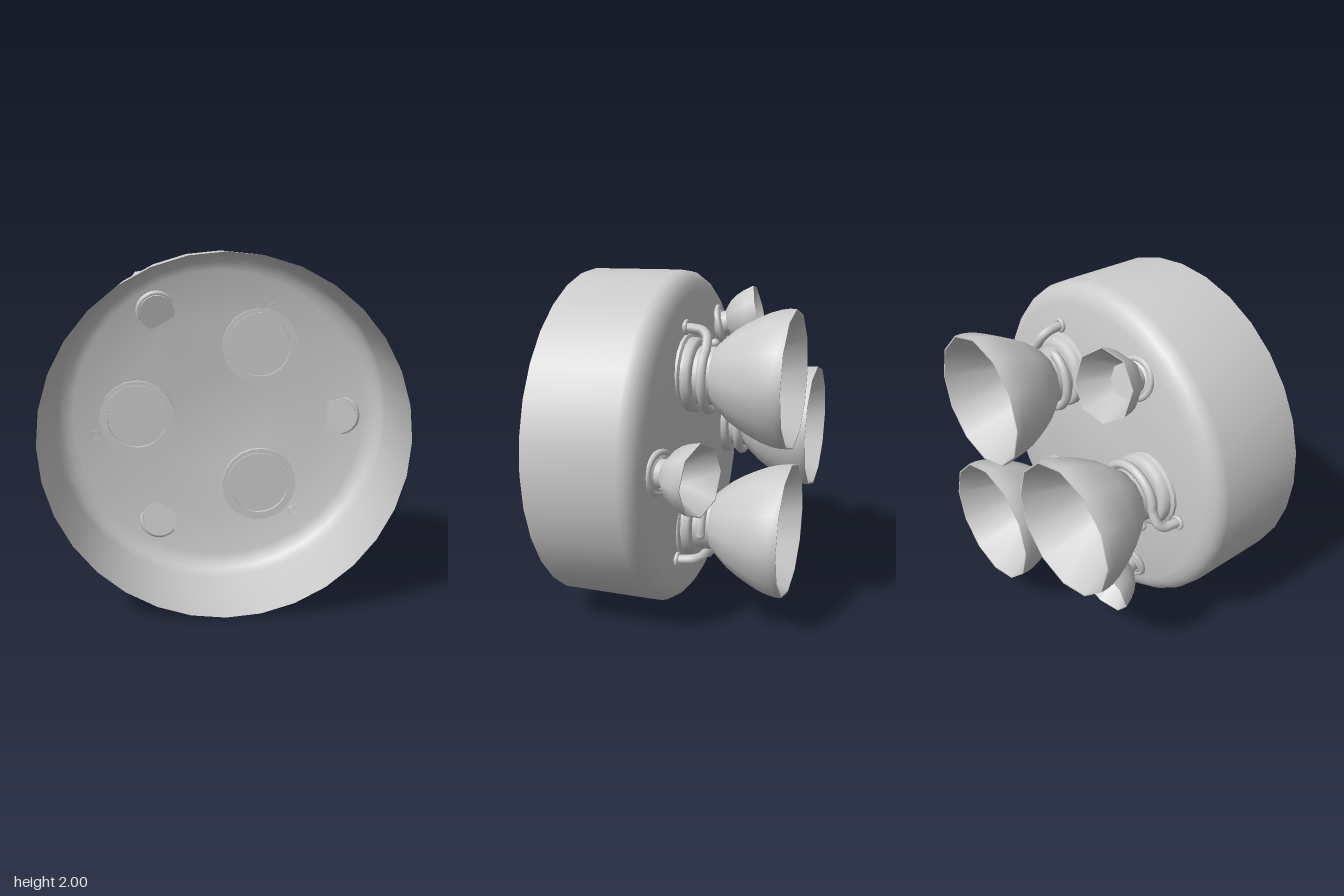
import * as THREE from 'three';
import { toCreasedNormals } from 'three/addons/utils/BufferGeometryUtils.js';

const material = new THREE.MeshStandardMaterial({ color: 0xcccccc, side: THREE.DoubleSide });
const RING_DEPTH = 0.165;

function mesh(name, geometry) {
  const m = new THREE.Mesh(geometry, material);
  m.name = name;
  return m;
}

// Turned part: profile of [radius, distance towards the back], axis along -z
function turned(name, profile, sides) {
  const points = profile.map(([r, d]) => new THREE.Vector2(r, d));
  const geometry = new THREE.LatheGeometry(points, sides).rotateX(-Math.PI / 2);
  return mesh(name, toCreasedNormals(geometry, 0.9));
}

function torus(name, radius, tube, depth) {
  const m = mesh(name, new THREE.TorusGeometry(radius, tube, 8, 24));
  m.position.z = -depth;
  return m;
}

// Feed pipe: rises from the plate, then wraps clockwise around the neck
function feedPipe() {
  const start = THREE.MathUtils.degToRad(21);
  const at = (r, a, d) => new THREE.Vector3(r * Math.cos(a), r * Math.sin(a), -d);
  const points = [
    at(0.275, start, 0.01), at(0.27, start, 0.07), at(0.26, start, 0.125),
    at(0.235, start - 0.08, 0.157),
  ];
  for (let i = 0; i <= 20; i++) points.push(at(0.19, start - 0.4 - i * 0.265, RING_DEPTH));
  const group = new THREE.Group();
  group.name = 'feedPipe';
  group.add(mesh('pipe', new THREE.TubeGeometry(new THREE.CatmullRomCurve3(points), 90, 0.027, 8)));
  // Rounded end of the pipe
  const cap = mesh('pipeEnd', new THREE.SphereGeometry(0.027, 8, 6));
  cap.position.copy(points[points.length - 1]);
  // Collar where the pipe meets the plate
  const collar = torus('pipeCollar', 0.032, 0.012, 0.035);
  collar.position.x = 0.275 * Math.cos(start);
  collar.position.y = 0.275 * Math.sin(start);
  group.add(cap, collar);
  return group;
}

function mainEngine() {
  const group = new THREE.Group();
  group.name = 'mainEngine';
  group.add(
    // Flange passing through the plate, recessed on the inner side
    turned('engineFlange', [
      [0, 0.02], [0.18, 0.02], [0.18, 0], [0.205, 0], [0.205, 0.012], [0.23, 0.012],
      [0.23, 0.04], [0.212, 0.05], [0.21, 0.09], [0.195, 0.105], [0.165, 0.105],
    ], 20),
    turned('engineNeck', [[0.165, 0.1], [0.165, 0.2]], 16),
    // Bell: outer curve, rim, inner cone and chamber floor
    turned('engineBell', [
      [0.16, 0.195], [0.175, 0.205], [0.215, 0.25], [0.26, 0.305], [0.3, 0.37], [0.335, 0.44],
      [0.362, 0.5], [0.38, 0.56], [0.386, 0.6], [0.386, 0.64],
      [0.378, 0.64], [0.21, 0.27], [0, 0.27],
    ], 12),
    feedPipe(),
  );
  return group;
}

function thruster() {
  const group = new THREE.Group();
  group.name = 'thruster';
  group.add(
    turned('thrusterBase', [[0, -0.01], [0.105, -0.01], [0.105, 0.03], [0.085, 0.04]], 20),
    torus('thrusterCollar', 0.11, 0.018, 0.02),
    turned('thrusterNeck', [[0.078, 0.02], [0.078, 0.08]], 12),
    // Bell: outer curve, rim, inner cone and chamber floor
    turned('thrusterBell', [
      [0.075, 0.068], [0.09, 0.075], [0.135, 0.115], [0.165, 0.16], [0.185, 0.21], [0.2, 0.275],
      [0.194, 0.275], [0.1, 0.1], [0, 0.1],
    ], 8),
  );
  // Lean outwards
  group.rotation.y = -THREE.MathUtils.degToRad(15);
  return group;
}

export function createModel() {
  const model = new THREE.Group();
  model.name = 'engineModule';
  const assembly = new THREE.Group();
  assembly.name = 'assembly';
  assembly.position.y = 1;
  model.add(assembly);

  // Open drum with rounded edge and shallow cone for a back plate
  assembly.add(turned('hull', [
    [1, -0.64], [1, -0.1], [0.992, -0.065], [0.97, -0.033], [0.935, -0.008],
    [0.89, 0.008], [0.6, 0.036], [0.3, 0.063], [0, 0.09],
  ], 32));

  // Three main engines and three thrusters alternate around the axis
  for (let i = 0; i < 3; i++) {
    const turn = (i * Math.PI * 2) / 3;
    const engineMount = new THREE.Group();
    engineMount.name = 'engineMount';
    engineMount.rotation.z = turn + Math.PI / 3;
    const engine = mainEngine();
    engine.position.x = 0.5;
    engineMount.add(engine);

    const thrusterMount = new THREE.Group();
    thrusterMount.name = 'thrusterMount';
    thrusterMount.rotation.z = turn;
    const small = thruster();
    small.position.set(0.74, 0, -0.02);
    thrusterMount.add(small);
    assembly.add(engineMount, thrusterMount);
  }
  return model;
}
